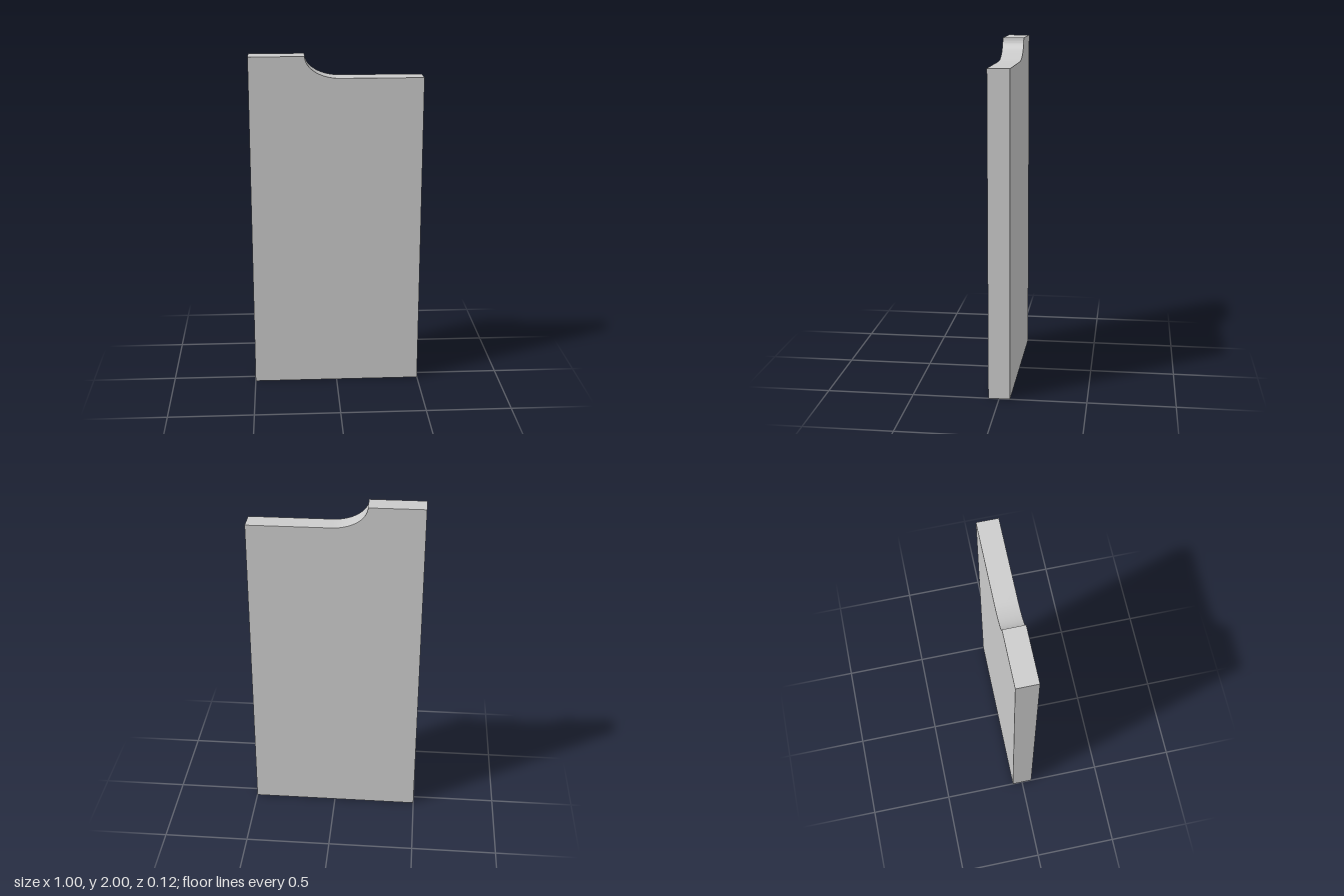
import * as THREE from 'three';
import { toCreasedNormals } from 'three/addons/utils/BufferGeometryUtils.js';

export function createModel() {
  const group = new THREE.Group();
  const halfWidth = 0.5, height = 2, ledge = 1.875, depth = 0.125;
  const curveX = 0.02, curveRadius = 0.2;

  // Panel outline: a tall board whose top drops to a lower ledge through a concave quarter ellipse
  const outline = new THREE.Shape();
  outline.moveTo(-halfWidth, 0);
  outline.lineTo(halfWidth, 0);
  outline.lineTo(halfWidth, ledge);
  outline.lineTo(curveX, ledge);
  outline.absellipse(curveX, height, curveRadius, height - ledge, Math.PI * 1.5, Math.PI, true);
  outline.lineTo(-halfWidth, height);
  outline.closePath();

  const extruded = new THREE.ExtrudeGeometry(outline, { depth, bevelEnabled: false, curveSegments: 24 });
  extruded.translate(0, 0, -depth / 2);

  // Smooth along the scoop, sharp at the board edges
  const panel = new THREE.Mesh(
    toCreasedNormals(extruded, Math.PI / 6),
    new THREE.MeshStandardMaterial({ color: 0xcccccc })
  );
  panel.name = 'panel';
  group.add(panel);
  return group;
}
